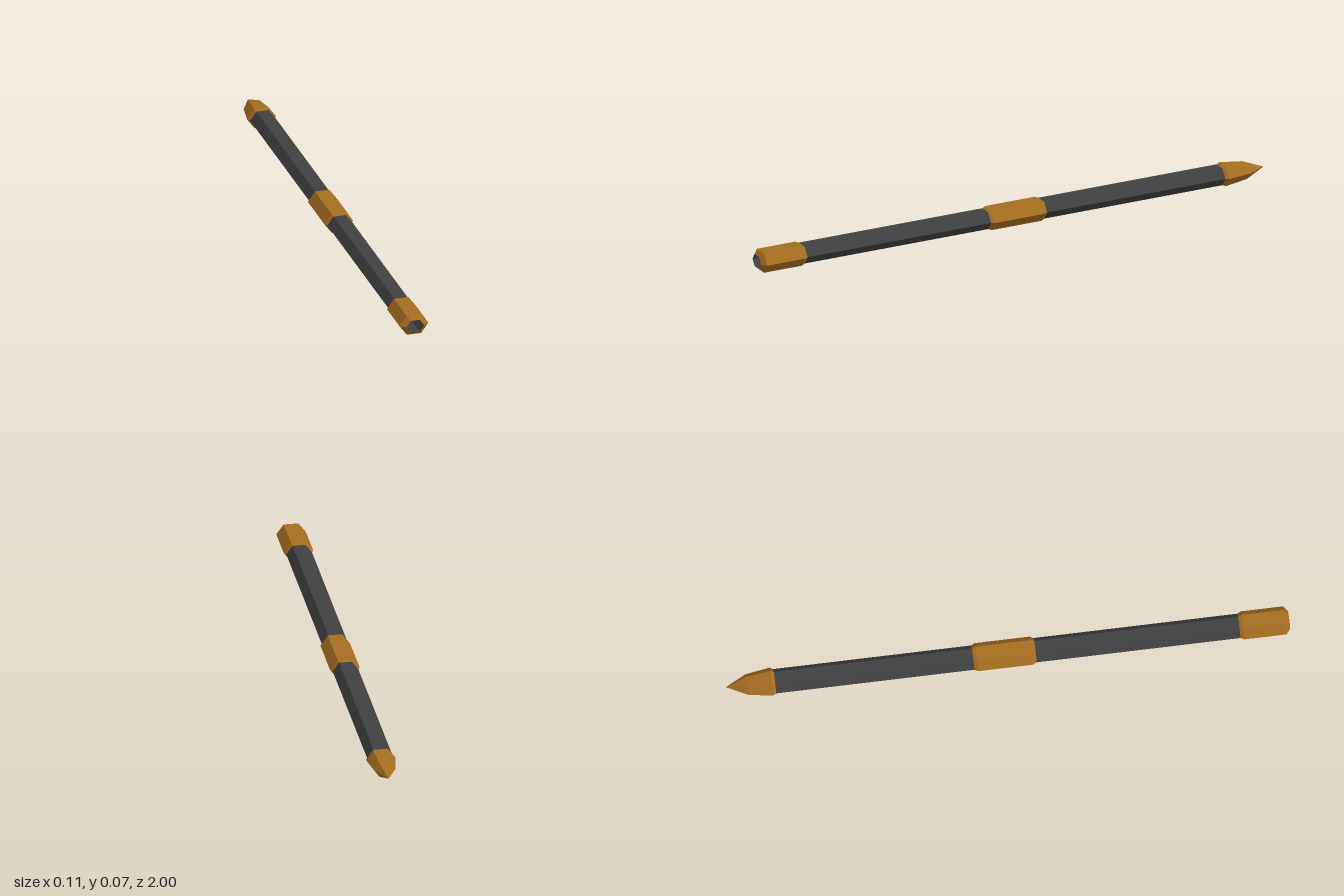
import * as THREE from 'three';

const CENTRE_Y = 0.037;
const FLATTEN = 0.79; // the hexagon is wider than it is tall

const bronze = new THREE.MeshStandardMaterial({ color: 0xa56d20, flatShading: true });
const darkGrey = new THREE.MeshStandardMaterial({ color: 0x404040, flatShading: true });

// Six-sided part along z from [radius, z] pairs, listed from back to front
function hexPart(name, profile, material) {
  const points = profile.map(([r, z]) => new THREE.Vector2(r, z));
  const geometry = new THREE.LatheGeometry(points, 6, Math.PI / 2);
  geometry.rotateX(Math.PI / 2);
  geometry.scale(1, FLATTEN, 1);
  geometry.translate(0, CENTRE_Y, 0);
  const mesh = new THREE.Mesh(geometry, material);
  mesh.name = name;
  return mesh;
}

export function createModel() {
  const model = new THREE.Group();
  model.name = 'staff';
  model.add(
    // long hexagonal rod
    hexPart('shaft', [[0, -0.85], [0.046, -0.85], [0.046, 0.86], [0, 0.86]], darkGrey),
    // pointed end at the back
    hexPart('tip', [[0, -1], [0.039, -0.925], [0.053, -0.838], [0.045, -0.825]], bronze),
    // bevelled sleeve in the middle
    hexPart('grip', [[0.045, -0.125], [0.053, -0.11], [0.053, 0.085], [0.045, 0.1]], bronze),
    // bevelled sleeve at the front with an open end
    hexPart('endCap', [[0.045, 0.82], [0.053, 0.835], [0.053, 0.985], [0.033, 1]], bronze),
    // dark recess inside the open end
    hexPart('socket', [[0.033, 1], [0.03, 0.93], [0, 0.9]], darkGrey),
  );
  return model;
}
